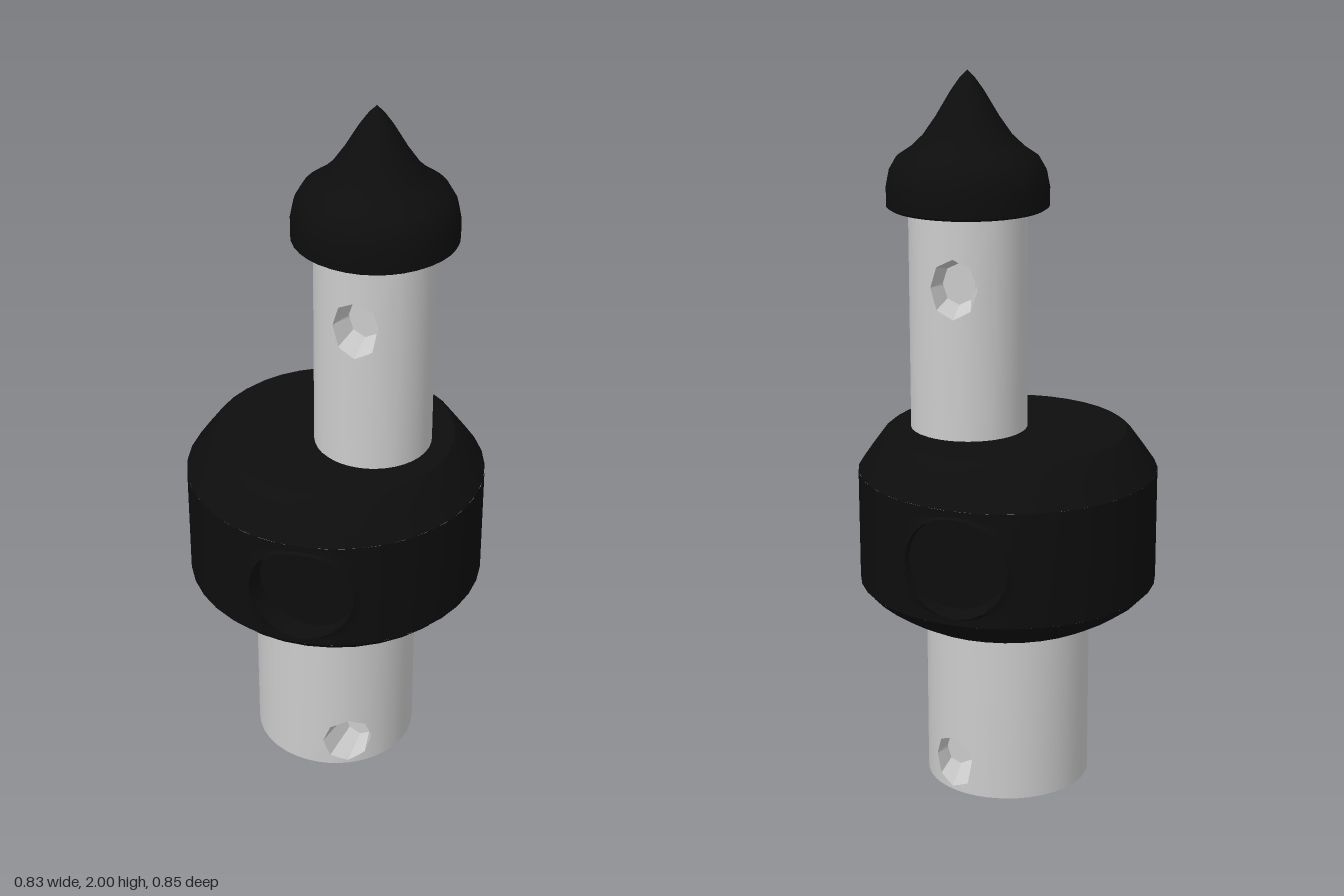
import * as THREE from 'three';
import { mergeGeometries, toCreasedNormals } from 'three/addons/utils/BufferGeometryUtils.js';

const grey = new THREE.MeshStandardMaterial({ color: 0xcccccc });
const black = new THREE.MeshStandardMaterial({ color: 0x0d0d0d });

// Merge pieces by position only and smooth them, keeping sharp edges
function solid(name, pieces, material, crease = 0.6) {
  const bare = pieces.map((g) => {
    const n = g.index ? g.toNonIndexed() : g;
    for (const key of Object.keys(n.attributes)) if (key !== 'position') n.deleteAttribute(key);
    return n;
  });
  const mesh = new THREE.Mesh(toCreasedNormals(mergeGeometries(bare), crease), material);
  mesh.name = name;
  return mesh;
}

function lathe(profile, segments = 36) {
  return new THREE.LatheGeometry(profile.map(([x, y]) => new THREE.Vector2(x, y)), segments);
}

// Column of cylinder wall around angle a, with a polygonal recess sunk along z
function recessedColumn(r, y0, y1, a, half, hole) {
  const N = 40, steps = 5, rings = [];
  const side = Math.sign(Math.cos(a));
  const wedge = (2 * Math.PI) / hole.sides;
  const at = (t, y, rad = r) => [rad * Math.sin(t), y, rad * Math.cos(t)];
  const halfAngle = hole.w / (r * Math.abs(Math.cos(a)));
  for (let k = 0; k <= steps; k++) {
    const f = k / steps, ring = [];
    for (let i = 0; i < N; i++) {
      const p = (i / N) * 2 * Math.PI, c = Math.cos(p), s = Math.sin(p);
      const m = Math.max(Math.abs(c), Math.abs(s));
      const poly = Math.cos(wedge / 2) / Math.cos((p % wedge) - wedge / 2);
      const t = a + THREE.MathUtils.lerp((half * c) / m, halfAngle * poly * c, f);
      const y = THREE.MathUtils.lerp((y0 + y1) / 2 + ((y1 - y0) / 2) * (s / m), hole.y + hole.h * poly * s, f);
      ring.push(at(t, y, k === steps ? r + hole.lip : r));
    }
    rings.push(ring);
  }
  // Flat floor of the recess, then its centre
  const cx = r * Math.sin(a);
  const floor = (shrink) => rings[steps].map(([x, y]) =>
    [cx + (x - cx) * shrink, hole.y + (y - hole.y) * shrink, side * hole.floor]);
  rings.push(floor(hole.taper), floor(0));

  const pos = [];
  for (let k = 0; k < rings.length - 1; k++) {
    for (let i = 0; i < N; i++) {
      const j = (i + 1) % N, o = rings[k], n = rings[k + 1];
      pos.push(...o[i], ...o[j], ...n[j]);
      if (k < rings.length - 2) pos.push(...o[i], ...n[j], ...n[i]);
    }
  }
  const g = new THREE.BufferGeometry();
  g.setAttribute('position', new THREE.Float32BufferAttribute(pos, 3));
  return g;
}

// Full cylinder wall with matching recesses at the front and back
function recessedWall(r, y0, y1, half, hole) {
  const a = Math.asin(hole.x / r);
  const b = Math.PI - a;
  const plain = (start, end) => {
    const g = new THREE.CylinderGeometry(r, r, y1 - y0, Math.max(6, Math.round((end - start) * 6)), 1, true, start, end - start);
    return g.translate(0, (y0 + y1) / 2, 0);
  };
  return [
    recessedColumn(r, y0, y1, a, half, hole),
    recessedColumn(r, y0, y1, b, half, hole),
    plain(a + half, b - half),
    plain(b + half, a - half + 2 * Math.PI),
  ];
}

export function createModel() {
  const model = new THREE.Group();
  const offset = 0.11; // sideways shift of the upper stem and cap

  // Lower stem with closed base
  const base = new THREE.CircleGeometry(0.231, 40).rotateX(Math.PI / 2);
  model.add(solid('lowerStem', [
    ...recessedWall(0.231, 0, 0.48, 0.5,
      { x: 0.117, y: 0.085, w: 0.063, h: 0.075, sides: 8, lip: 0, floor: 0.1, taper: 0.7 }),
    base,
  ], grey));

  // Wide body: curved underside, recessed wall, bevelled top
  model.add(solid('body', [
    lathe([[0, 0.475], [0.235, 0.475], [0.29, 0.497], [0.335, 0.522], [0.385, 0.557], [0.416, 0.59]]),
    ...recessedWall(0.416, 0.59, 0.91, 0.52,
      { x: 0.06, y: 0.75, w: 0.145, h: 0.14, sides: 20, lip: 0.008, floor: 0.36, taper: 0.95 }),
    lathe([[0.416, 0.91], [0.385, 0.955], [0.345, 1.01], [0.33, 1.022], [0, 1.022]]),
  ], black));

  // Upper stem
  const upper = solid('upperStem', recessedWall(0.162, 1.0, 1.64, 0.7,
    { x: 0.006, y: 1.44, w: 0.067, h: 0.082, sides: 8, lip: 0, floor: 0.085, taper: 0.7 }), grey);
  upper.position.x = offset;
  model.add(upper);

  // Pointed cap
  const cap = solid('pointedCap', [
    lathe([[0, 1.633], [0.21, 1.633], [0.221, 1.64], [0.221, 1.69], [0.212, 1.735], [0.192, 1.77],
      [0.155, 1.795], [0.12, 1.828], [0.085, 1.878], [0.045, 1.945], [0.02, 1.98], [0, 2]]),
  ], black);
  cap.position.x = offset;
  model.add(cap);

  return model;
}
